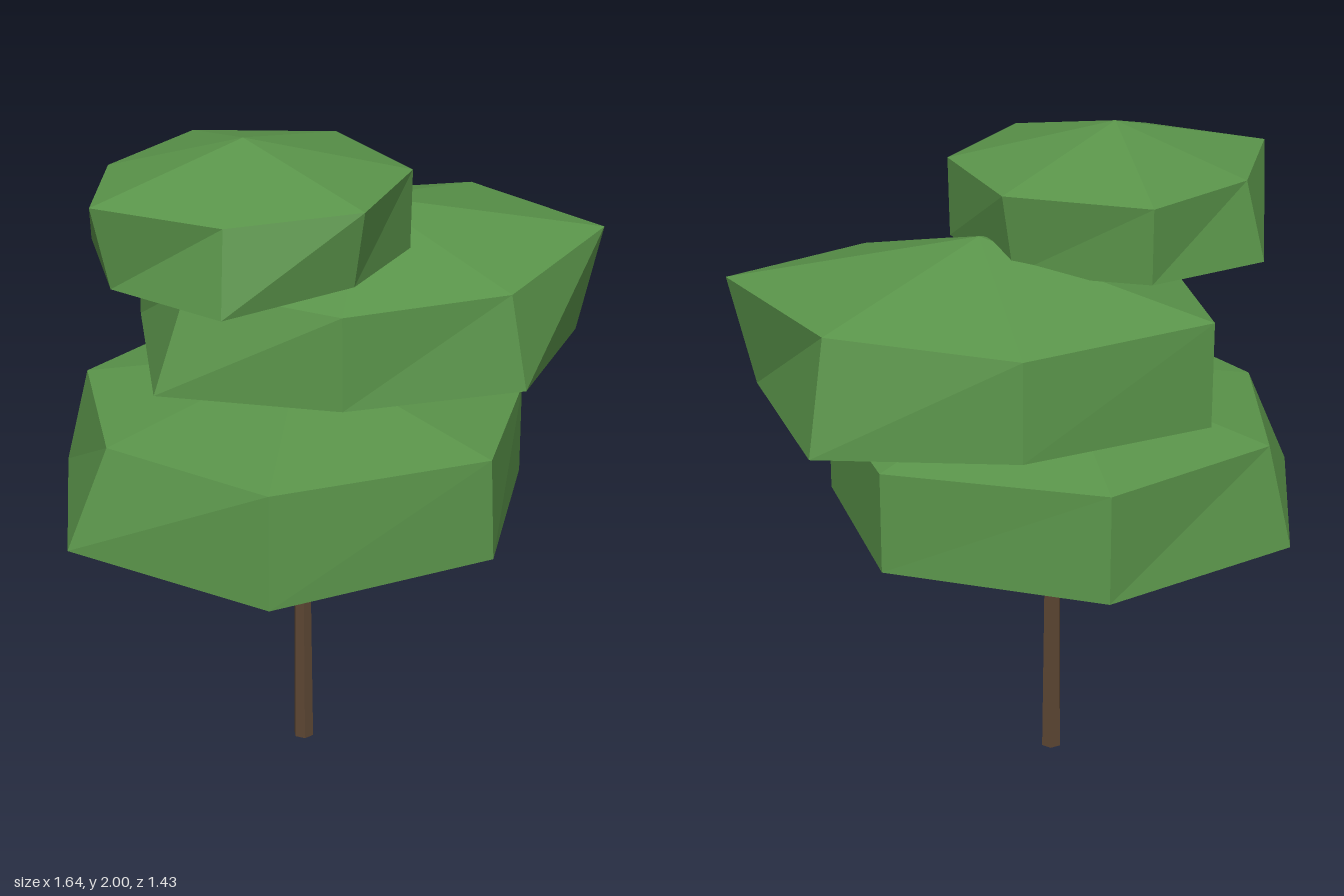
import * as THREE from 'three';

const SIDES = 7;

// Faceted foliage tier: top apex, upper ring, lower ring, bottom apex
function createTier(name, top, upper, lower, bottom, material) {
  const positions = [];
  const face = (...corners) => corners.forEach((c) => positions.push(...c));
  for (let i = 0; i < SIDES; i++) {
    const j = (i + 1) % SIDES;
    face(top, upper[j], upper[i]);
    face(lower[j], lower[i], upper[i]);
    face(lower[j], upper[i], upper[j]);
    face(bottom, lower[i], lower[j]);
  }
  const geometry = new THREE.BufferGeometry();
  geometry.setAttribute('position', new THREE.Float32BufferAttribute(positions, 3));
  geometry.computeVertexNormals();
  const mesh = new THREE.Mesh(geometry, material);
  mesh.name = name;
  return mesh;
}

export function createModel() {
  const leafGreen = new THREE.MeshStandardMaterial({ color: 0x5a944a, flatShading: true });
  leafGreen.name = 'leaf green';
  const barkBrown = new THREE.MeshStandardMaterial({ color: 0x5c4633, flatShading: true });
  barkBrown.name = 'bark brown';

  const tree = new THREE.Group();
  tree.name = 'tree';

  // Thin tapered trunk, ending inside the lowest tier
  const trunk = new THREE.Mesh(new THREE.CylinderGeometry(0.023, 0.032, 0.95, 6), barkBrown);
  trunk.name = 'trunk';
  trunk.position.set(-0.11, 0.475, -0.02);
  tree.add(trunk);

  // Rings run from +x round through the front (+z)
  tree.add(createTier('lowerFoliage', [-0.11, 1.31, -0.02],
    [[0.555, 1.155, -0.02], [0.36, 1.175, 0.52], [-0.285, 1.185, 0.685], [-0.7, 1.155, 0.25],
      [-0.73, 1.16, -0.305], [-0.28, 1.18, -0.7], [0.36, 1.175, -0.56]],
    [[0.555, 0.88, -0.02], [0.37, 0.87, 0.53], [-0.29, 0.85, 0.715], [-0.825, 0.855, 0.29],
      [-0.8, 0.855, -0.335], [-0.28, 0.86, -0.715], [0.36, 0.87, -0.56]],
    [-0.11, 0.72, -0.02], leafGreen));

  tree.add(createTier('middleFoliage', [0.1, 1.73, -0.16],
    [[0.82, 1.6, -0.16], [0.46, 1.56, 0.25], [-0.04, 1.56, 0.36], [-0.45, 1.56, 0.08],
      [-0.555, 1.59, -0.45], [-0.04, 1.565, -0.69], [0.5, 1.6, -0.615]],
    [[0.745, 1.275, -0.16], [0.5, 1.28, 0.295], [-0.04, 1.28, 0.37], [-0.555, 1.255, 0.13],
      [-0.555, 1.28, -0.45], [-0.04, 1.275, -0.705], [0.54, 1.265, -0.67]],
    [0.1, 1.13, -0.16], leafGreen));

  tree.add(createTier('upperFoliage', [-0.28, 2, 0.075],
    [[0.2, 1.885, 0.075], [0.015, 1.885, 0.415], [-0.375, 1.875, 0.465], [-0.72, 1.885, 0.28],
      [-0.65, 1.88, -0.095], [-0.385, 1.885, -0.37], [0.03, 1.89, -0.285]],
    [[0.195, 1.65, 0.075], [-0.01, 1.66, 0.385], [-0.39, 1.64, 0.535], [-0.67, 1.64, 0.26],
      [-0.705, 1.65, -0.125], [-0.385, 1.665, -0.365], [0.0, 1.65, -0.25]],
    [-0.29, 1.55, 0.075], leafGreen));

  return tree;
}
